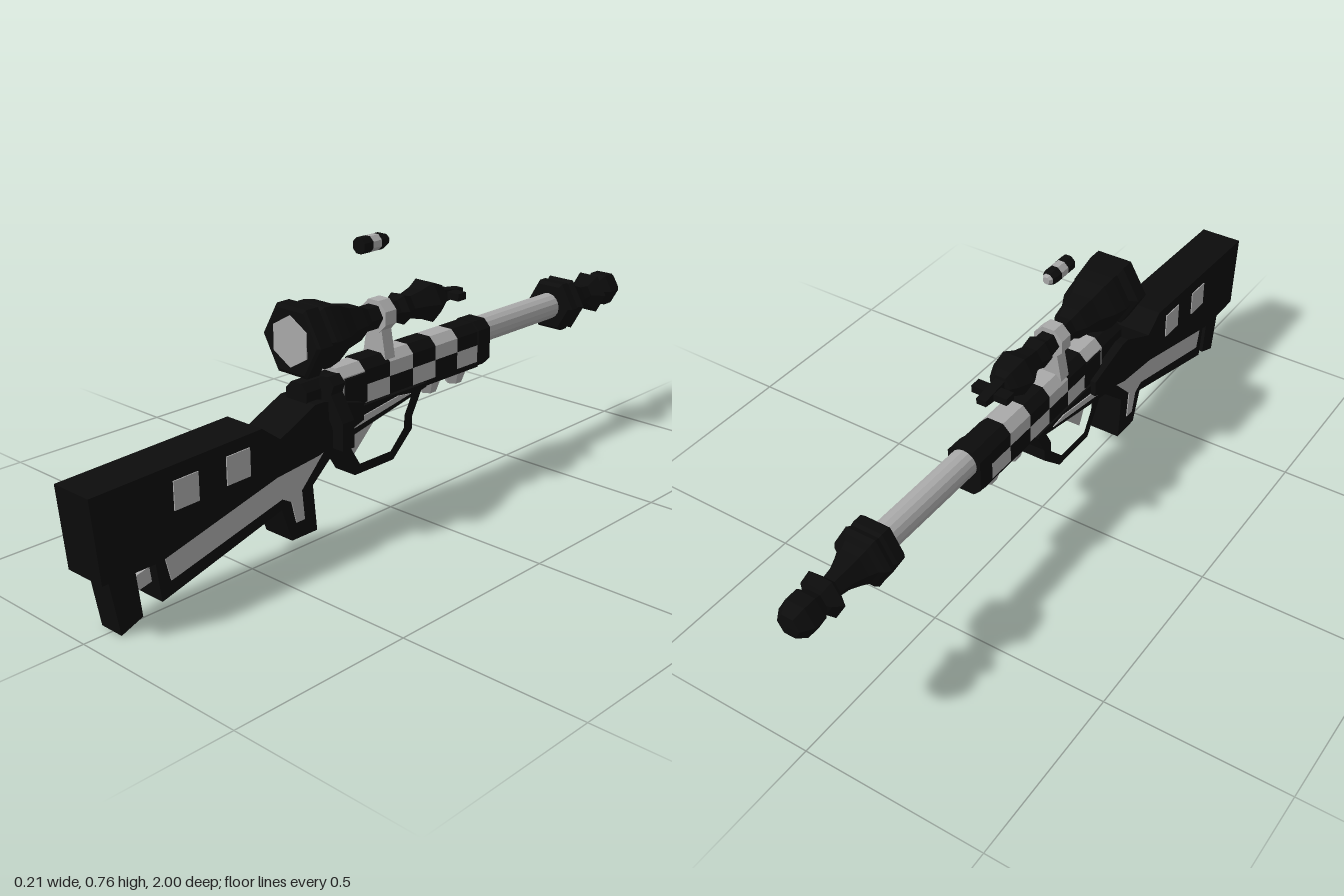
import * as THREE from 'three';

const black = new THREE.MeshStandardMaterial({ color: 0x0c0c0c });
black.name = 'black';
const silver = new THREE.MeshStandardMaterial({ color: 0xaaaaaa });
silver.name = 'silver';

export function createModel() {
  const model = new THREE.Group();
  const CX = -0.004; // centre plane of the body

  // Add a faceted mesh
  function add(name, geometry, material, x = CX, y = 0, z = 0) {
    const g = geometry.index ? geometry.toNonIndexed() : geometry;
    g.computeVertexNormals();
    const mesh = new THREE.Mesh(g, material);
    mesh.name = name;
    mesh.position.set(x, y, z);
    model.add(mesh);
    return mesh;
  }
  const toShape = (pts) => new THREE.Shape(pts.map((p) => new THREE.Vector2(...p)));

  // Side outline [z, y] extruded across x
  function slab(name, pts, x0, x1, material, hole) {
    const shape = toShape(pts);
    if (hole) shape.holes.push(toShape(hole));
    const g = new THREE.ExtrudeGeometry(shape, { depth: x1 - x0, bevelEnabled: false });
    g.rotateY(-Math.PI / 2);
    return add(name, g, material, CX + x1);
  }
  // Matching thin plates on both sides of a slab
  function plates(name, pts, half) {
    slab(name + 'Left', pts, half - 0.002, half + 0.003, silver);
    slab(name + 'Right', pts, -half - 0.003, -half + 0.002, silver);
  }
  // Cross-section [x, y] extruded from z0 to z1
  function bar(name, pts, z0, z1, material) {
    const g = new THREE.ExtrudeGeometry(toShape(pts), { depth: z1 - z0, bevelEnabled: false });
    return add(name, g, material, CX, 0, z0);
  }
  // Turned part along z from [radius, z] points with z rising
  function turned(name, pts, y, material, sides = 6, phi = Math.PI / 2) {
    const g = new THREE.LatheGeometry(pts.map((p) => new THREE.Vector2(...p)), sides, phi);
    g.rotateX(Math.PI / 2);
    return add(name, g, material, CX, y);
  }
  const box = (name, w, h, d, x, y, z, m) => add(name, new THREE.BoxGeometry(w, h, d), m, x, y, z);

  // Stock
  slab('upperStock', [[1, 0.37], [0.98, 0.158], [0.82, 0.158], [0.46, 0.25], [0.32, 0.265], [0.16, 0.315],
    [0.16, 0.36], [0.3, 0.4], [0.33, 0.4], [0.447, 0.345], [0.505, 0.388]], -0.061, 0.061, black);
  slab('lowerStockAndGrip', [[0.826, 0.17], [0.81, 0.05], [0.436, 0.152], [0.404, 0.06], [0.318, 0.06],
    [0.33, 0.185], [0.238, 0.265], [-0.094, 0.334], [-0.094, 0.345], [0.16, 0.345], [0.46, 0.26]], -0.047, 0.047, black);
  slab('buttLeg', [[0.95, 0.17], [0.92, 0.004], [0.858, 0.028], [0.875, 0.17]], -0.036, 0.036, black);
  slab('buttLink', [[0.88, 0.12], [0.88, 0.08], [0.815, 0.095], [0.815, 0.135]], -0.02, 0.02, silver);

  // Stock inlays
  plates('stockInlay', [[0.8, 0.165], [0.783, 0.095], [0.436, 0.182], [0.405, 0.165], [0.39, 0.105], [0.362, 0.105],
    [0.37, 0.185], [0.29, 0.267], [0.2, 0.292], [-0.03, 0.332], [0.02, 0.338], [0.2, 0.312], [0.32, 0.262],
    [0.46, 0.248]], 0.047);
  for (const [z, y] of [[0.738, 0.306], [0.582, 0.317]]) {
    plates('stockSquare', [[z - 0.036, y - 0.035], [z + 0.036, y - 0.037], [z + 0.036, y + 0.035], [z - 0.036, y + 0.037]], 0.061);
  }

  // Trigger guard and trigger
  slab('triggerGuard', [[0.238, 0.27], [0.168, 0.158], [0.024, 0.158], [-0.05, 0.225], [-0.05, 0.26], [-0.094, 0.338]],
    -0.035, 0.035, black,
    [[0.2, 0.265], [0.15, 0.184], [0.034, 0.184], [-0.018, 0.235], [-0.02, 0.27], [-0.045, 0.315]]);
  slab('trigger', [[0.2, 0.27], [0.162, 0.19], [0.05, 0.295]], -0.012, 0.012, silver);

  // Receiver
  const octagon = (h, y0, y1, c) => [[-h, y0 + c], [-h + c, y0], [h - c, y0], [h, y0 + c],
    [h, y1 - c], [h - c, y1], [-h + c, y1], [-h, y1 - c]];
  bar('receiverCore', octagon(0.042, 0.34, 0.456, 0.022), -0.3, 0.22, silver);
  bar('receiverSide', octagon(0.045, 0.33, 0.45, 0.022), 0.13, 0.21, black);
  bar('receiverRear', octagon(0.036, 0.36, 0.445, 0.02), 0.2, 0.335, black);
  bar('foreEndCap', octagon(0.048, 0.329, 0.461, 0.022), -0.355, -0.305, black);
  box('foreEndFloor', 0.07, 0.03, 0.46, CX, 0.345, -0.09, black);

  // Checkered fore-end
  for (let i = 0; i < 5; i++) {
    const z1 = 0.136 - i * 0.089;
    const z0 = z1 - 0.089;
    bar('lowerCheck', [[-0.045, 0.35], [0.045, 0.35], [0.045, 0.398], [-0.045, 0.398]], z0, z1, i % 2 ? black : silver);
    bar('upperCheck', [[-0.045, 0.398], [0.045, 0.398], [0.045, 0.437], [0.023, 0.459], [-0.023, 0.459], [-0.045, 0.437]],
      z0, z1, i % 2 ? silver : black);
  }
  for (const z of [-0.152, -0.258]) {
    const g = new THREE.CylinderGeometry(0.037, 0.022, 0.042, 6);
    add('underKnob', g, silver, CX, 0.316, z);
  }

  // Bolt handle on the left side
  bar('boltHandle', [[0.03, 0.4], [0.074, 0.33], [0.074, 0.278], [0.109, 0.278], [0.109, 0.35], [0.07, 0.415],
    [0.079, 0.44], [0.06, 0.46], [0.03, 0.455]], 0.245, 0.285, black);

  // Barrel and turned muzzle
  turned('barrel', [[0, -0.7], [0.038, -0.7], [0.038, -0.34], [0, -0.34]], 0.42, silver, 16);
  turned('muzzle', [[0, -1], [0.032, -0.998], [0.052, -0.97], [0.052, -0.935], [0.03, -0.908], [0.042, -0.903],
    [0.064, -0.885], [0.03, -0.86], [0.036, -0.82], [0.05, -0.785], [0.06, -0.765], [0.073, -0.757],
    [0.083, -0.745], [0.073, -0.728], [0.08, -0.72], [0.08, -0.695], [0.07, -0.685], [0, -0.685]], 0.42, black);

  // Scope with cross finial
  const SY = 0.553;
  turned('scope', [[0, -0.2], [0.03, -0.195], [0.042, -0.18], [0.062, -0.135], [0.045, -0.1], [0.035, -0.06],
    [0.045, -0.03], [0.034, -0.01], [0.034, 0.1], [0.05, 0.13], [0.06, 0.18], [0.082, 0.225], [0.09, 0.26],
    [0.09, 0.28], [0.076, 0.295], [0.1, 0.305], [0.1, 0.345], [0.09, 0.35], [0, 0.35]], SY, black);
  const lens = new THREE.CylinderGeometry(0.066, 0.066, 0.006, 6).rotateX(Math.PI / 2);
  add('scopeLens', lens, silver, CX, SY, 0.35);
  slab('crossStem', [[-0.18, SY - 0.02], [-0.18, SY + 0.02], [-0.277, SY + 0.008], [-0.277, SY - 0.008]].reverse(),
    -0.014, 0.014, black);
  box('crossArms', 0.104, 0.02, 0.032, CX, SY, -0.228, black);

  // Scope mount
  turned('mountRing', [[0, 0.02], [0.046, 0.02], [0.046, 0.06], [0, 0.06]], SY, silver, 8, Math.PI / 8);
  bar('mountPost', [[-0.04, 0.44], [0.04, 0.44], [0.024, 0.53], [-0.024, 0.53]], 0.022, 0.058, silver);

  // Floating cartridge
  const rounds = [
    ['cartridgeBase', [[0, 0.08], [0.022, 0.08], [0.022, 0.112], [0, 0.112]], black],
    ['cartridgeBand', [[0.022, 0.05], [0.022, 0.08]], silver],
    ['cartridgeHead', [[0.016, 0.018], [0.022, 0.035], [0.022, 0.05]], black],
    ['cartridgeTip', [[0, 0.01], [0.01, 0.01], [0.016, 0.018]], silver],
  ];
  for (const [name, pts, m] of rounds) turned(name, pts, 0.745, m, 8, Math.PI / 8);

  return model;
}
